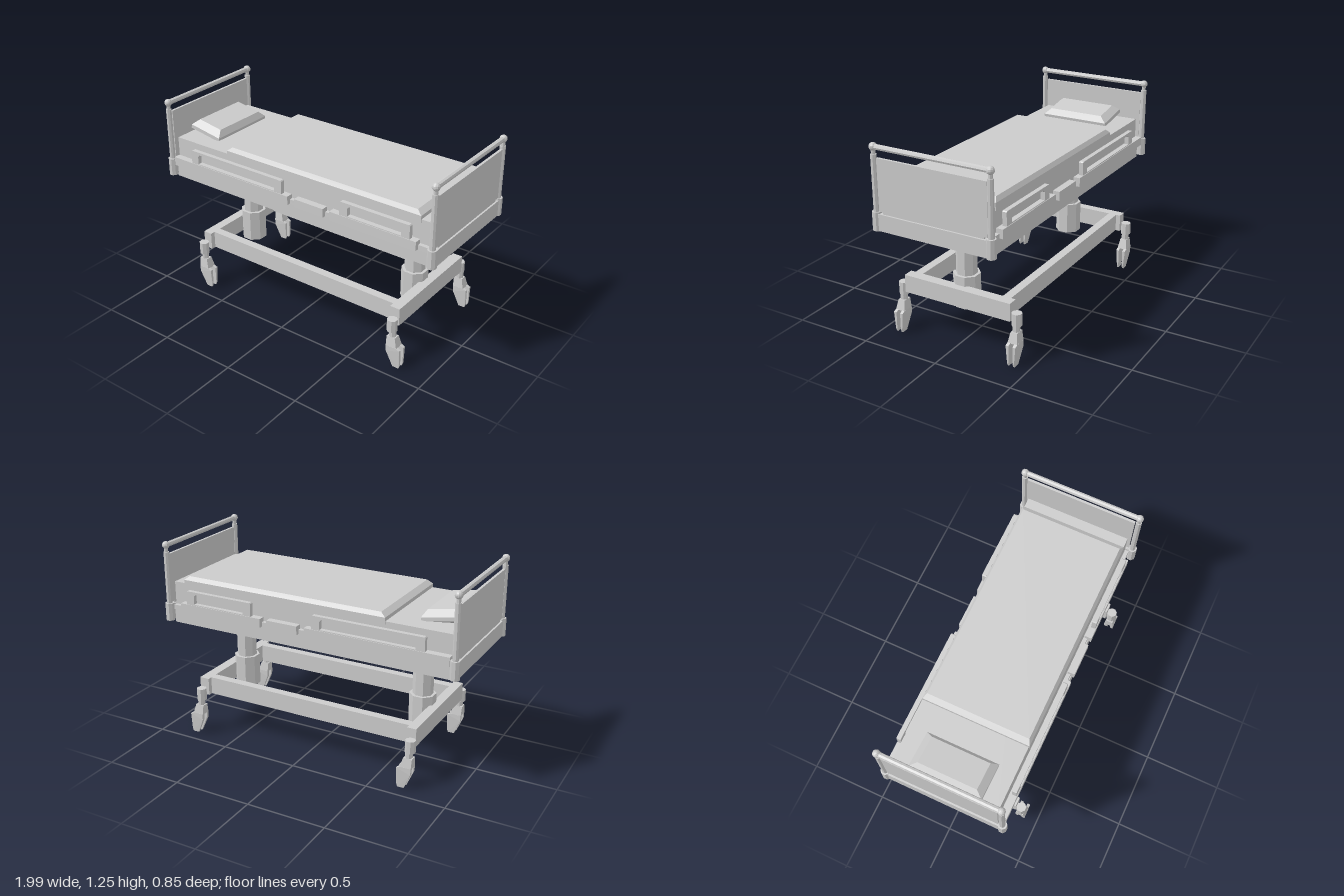
import * as THREE from 'three';

const mat = new THREE.MeshStandardMaterial({ color: 0xcccccc, flatShading: true, side: THREE.DoubleSide });

export function createModel() {
  const model = new THREE.Group();
  model.name = 'hospitalBed';

  const add = (name, geo, x = 0, y = 0, z = 0, parent = model) => {
    const m = new THREE.Mesh(geo, mat);
    m.name = name;
    m.position.set(x, y, z);
    parent.add(m);
    return m;
  };
  // Box given by its limits on each axis
  const box = (name, x0, x1, y0, y1, z0, z1, parent = model) =>
    add(name, new THREE.BoxGeometry(x1 - x0, y1 - y0, z1 - z0), (x0 + x1) / 2, (y0 + y1) / 2, (z0 + z1) / 2, parent);
  // Upright eight-sided cylinder, flat side forward
  const post = (name, r, y0, y1, x, z, parent = model) =>
    add(name, new THREE.CylinderGeometry(r, r, y1 - y0, 8).rotateY(Math.PI / 8), x, (y0 + y1) / 2, z, parent);
  // Stack of rectangular sections [halfX, y, halfZ], closed at both ends
  const stack = (sections) => {
    const p = [], idx = [], n = sections.length;
    for (const [a, y, c] of sections) p.push(-a, y, c, a, y, c, a, y, -c, -a, y, -c);
    for (let i = 0; i < n - 1; i++)
      for (let j = 0; j < 4; j++) {
        const a = i * 4 + j, b = i * 4 + (j + 1) % 4;
        idx.push(a, b, b + 4, a, b + 4, a + 4);
      }
    const t = (n - 1) * 4;
    idx.push(0, 2, 1, 0, 3, 2, t, t + 1, t + 2, t, t + 2, t + 3);
    const g = new THREE.BufferGeometry();
    g.setAttribute('position', new THREE.Float32BufferAttribute(p, 3));
    g.setIndex(idx);
    const flat = g.toNonIndexed();
    flat.computeVertexNormals();
    return flat;
  };
  const polygon = (pts) => new THREE.Shape(pts.map(([x, y]) => new THREE.Vector2(x, y)));

  // Bed deck and bedding
  box('bedFrame', -0.955, 0.945, 0.72, 0.81, -0.35, 0.355);
  box('mattressBase', -0.945, 0.945, 0.81, 0.84, -0.36, 0.365);
  box('mattress', -0.945, 0.945, 0.84, 0.987, -0.335, 0.34);
  add('blanket', stack([[0.697, 0.965, 0.342], [0.697, 1.01, 0.342], [0.664, 1.035, 0.325]]), 0.172, 0, 0.003);
  const pillow = add('pillow', stack([
    [0.07, -0.035, 0.18], [0.117, -0.012, 0.228], [0.117, 0.012, 0.228], [0.088, 0.047, 0.185],
  ]), -0.81, 1.013, 0.005);
  pillow.rotation.z = -0.17;

  // Side rails: lower bars, each with a looped handle
  const handle = (x0, x1) => {
    const loop = (a, b, y0, y1, c) => [[a, y0], [b, y0], [b, y1 - c], [b - c, y1], [a + c, y1], [a, y1 - c]];
    const s = polygon(loop(x0, x1, 0.865, 0.955, 0.006));
    s.holes.push(polygon(loop(x0 + 0.055, x1 - 0.055, 0.874, 0.938, 0.014)));
    return new THREE.ExtrudeGeometry(s, { depth: 0.028, bevelEnabled: false });
  };
  for (const side of [1, -1]) {
    const rail = new THREE.Group();
    rail.name = side > 0 ? 'frontSideRail' : 'backSideRail';
    const zs = [side * 0.343 + 0.003, side * 0.387 + 0.003].sort((a, b) => a - b);
    for (const [a, b] of [[-0.94, -0.02], [0.03, 0.24], [0.286, 0.87]])
      box('railBar', a, b, 0.812, 0.868, ...zs, rail);
    for (const [a, b] of [[-0.79, -0.068], [0.355, 0.826]])
      add('railHandle', handle(a, b), 0, 0, side * 0.369 + 0.003 - 0.014, rail);
    model.add(rail);
  }

  // Head and foot ends
  for (const side of [-1, 1]) {
    const end = new THREE.Group();
    end.name = side < 0 ? 'headEnd' : 'footEnd';
    end.position.set(side * 0.969, 0, 0.004);
    box('endPanel', -0.008, 0.008, 0.855, 1.17, -0.358, 0.353, end);
    box('endPanelFoot', -0.006, 0.006, 0.84, 0.855, -0.335, 0.33, end);
    box('endBeam', -0.017, 0.017, 0.74, 0.842, -0.375, 0.375, end);
    for (const z of [-0.376, 0.376]) {
      post('postBase', 0.029, 0.738, 0.852, 0, z, end);
      post('endPost', 0.0185, 0.85, 1.188, 0, z, end);
      post('postNeck', 0.013, 1.185, 1.225, 0, z, end);
      add('postBall', new THREE.SphereGeometry(0.024, 10, 8), 0, 1.231, z, end);
    }
    add('endBar', new THREE.CylinderGeometry(0.017, 0.017, 0.752, 8).rotateX(Math.PI / 2), 0, 1.231, 0, end);
    model.add(end);
  }

  // Lifting columns
  for (const x of [-0.629, 0.646]) {
    post('liftColumn', 0.064, 0.4, 0.725, x, 0.003);
    post('columnSleeve', 0.083, 0.225, 0.43, x, 0.003);
  }

  // Wheeled base frame
  box('baseEndBeam', -0.75, -0.69, 0.26, 0.373, -0.362, 0.364);
  box('baseEndBeam', 0.705, 0.77, 0.26, 0.373, -0.362, 0.364);
  for (const z of [-0.305, 0.305]) box('baseSideBeam', -0.692, 0.707, 0.26, 0.373, z - 0.027, z + 0.027);

  // Casters: collar, neck and a forked foot that tapers at both ends
  const crown = [[-0.02, 0.137], [0.052, 0.137], [0.034, 0.2], [-0.022, 0.2]];
  const prong = [[-0.018, 0.1], [0.025, 0], [0.066, 0], [0.073, 0.02], [0.073, 0.13], [0.052, 0.14], [-0.02, 0.14]];
  const halfWidth = (y) => (y > 0.15 ? 0.022 : y > 0.05 ? 0.032 : 0.023);
  const forkPart = (pts, z0, z1) => {
    const g = new THREE.ExtrudeGeometry(polygon(pts), { depth: z1 - z0, bevelEnabled: false }).translate(0, 0, z0);
    const p = g.attributes.position;
    for (let i = 0; i < p.count; i++) {
      const z = p.getZ(i);
      if (Math.abs(z) > 0.02) p.setZ(i, Math.sign(z) * halfWidth(p.getY(i)));
    }
    g.computeVertexNormals();
    return g;
  };
  for (const x of [-0.729, 0.742])
    for (const z of [-0.391, 0.393]) {
      const caster = new THREE.Group();
      caster.name = 'caster';
      caster.position.set(x, 0, z);
      post('casterCollar', 0.032, 0.235, 0.313, 0, 0, caster);
      post('casterNeck', 0.023, 0.195, 0.24, 0.006, 0, caster);
      add('forkCrown', forkPart(crown, -0.03, 0.03), 0, 0, 0, caster);
      add('forkProng', forkPart(prong, 0.013, 0.03), 0, 0, 0, caster);
      add('forkProng', forkPart(prong, -0.03, -0.013), 0, 0, 0, caster);
      model.add(caster);
    }

  return model;
}
